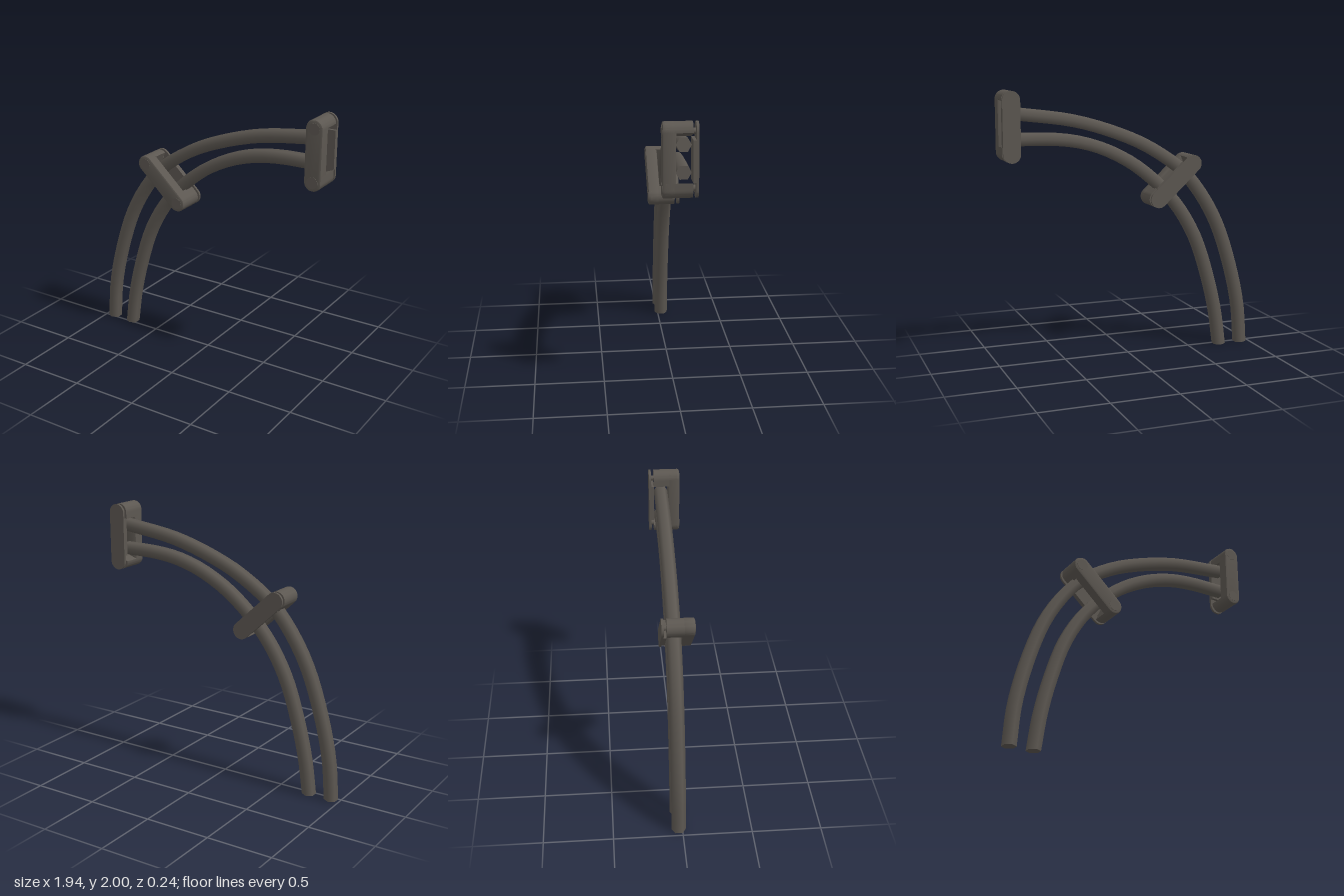
import * as THREE from 'three';
import { toCreasedNormals } from 'three/addons/utils/BufferGeometryUtils.js';

const gunmetal = new THREE.MeshStandardMaterial({ color: 0x5c5751 });
gunmetal.name = 'warm dark grey';

const TUBE_RADIUS = 0.0525, TUBE_Z = -0.027;
const R = 0.064;    // clip end radius
const H = 0.188;    // clip centre to pin centre
const SLOT = 0.14;  // half length of the slot

function add(parent, name, geometry) {
  const mesh = new THREE.Mesh(geometry, gunmetal);
  mesh.name = name;
  parent.add(mesh);
  return mesh;
}

// Six-sided smooth tube through the points, cut flat at the floor and capped
function createTube(name, points) {
  const group = new THREE.Group();
  group.name = name;
  const curve = new THREE.CatmullRomCurve3(points.map(([x, y]) => new THREE.Vector3(x, y, TUBE_Z)), false, 'centripetal');
  const geometry = new THREE.TubeGeometry(curve, 32, TUBE_RADIUS, 6);
  for (let i = 0; i <= 6; i++) geometry.attributes.position.setY(i, 0);
  add(group, name + 'Wall', geometry);
  const ends = [
    [curve.getPoint(0), new THREE.Vector3(0, -1, 0)],
    [curve.getPoint(1), curve.getTangent(1)],
  ];
  for (const [position, direction] of ends) {
    const cap = add(group, name + 'Cap', new THREE.CircleGeometry(TUBE_RADIUS, 6, Math.PI / 2));
    cap.position.copy(position);
    cap.up.set(0, 0, 1);
    cap.lookAt(position.clone().add(direction));
  }
  return group;
}

// Outline with two round ends
function stadium() {
  const shape = new THREE.Shape();
  shape.absarc(0, H, R, 0, Math.PI, false);
  shape.absarc(0, -H, R, Math.PI, Math.PI * 2, false);
  shape.closePath();
  return shape;
}

// Outline of one arm: round tip, flat towards the slot
function armShape() {
  const shape = new THREE.Shape();
  shape.moveTo(R, SLOT);
  shape.absarc(0, H, R, 0, Math.PI, false);
  shape.lineTo(-R, SLOT);
  shape.closePath();
  return shape;
}

function extrude(shape, zBack, zFront, bevel = 0) {
  const geometry = new THREE.ExtrudeGeometry(shape, {
    depth: zFront - zBack - 2 * bevel, curveSegments: 12,
    bevelEnabled: bevel > 0, bevelThickness: bevel, bevelSize: bevel, bevelOffset: -bevel, bevelSegments: 2,
  });
  geometry.translate(0, 0, zBack + bevel);
  return toCreasedNormals(geometry, 0.6);
}

// Slotted clip that holds both tubes, closed by a back plate on two pins
function createClip(name, x, y, angle) {
  const clip = new THREE.Group();
  clip.name = name;
  add(clip, 'frontBridge', extrude(stadium(), 0.03, 0.117, 0.012));
  add(clip, 'backPlate', extrude(stadium(), -0.117, -0.1));
  add(clip, 'backPad', new THREE.BoxGeometry(2 * R, 2 * SLOT, 0.022)).position.z = -0.09;
  for (const side of [1, -1]) {
    const arm = add(clip, 'arm', extrude(armShape(), -0.08, 0.1));
    if (side < 0) arm.rotation.z = Math.PI;
    const pin = add(clip, 'pin', new THREE.CylinderGeometry(0.02, 0.02, 0.03, 12));
    pin.rotation.x = Math.PI / 2;
    pin.position.set(0, side * H, -0.09);
    const rivet = add(clip, 'rivetHead', new THREE.CylinderGeometry(0.042, 0.042, 0.005, 24));
    rivet.rotation.x = Math.PI / 2;
    rivet.position.set(0, side * H, 0.117);
  }
  clip.position.set(x, y, 0);
  clip.rotation.z = angle;
  return clip;
}

export function createModel() {
  const model = new THREE.Group();
  model.name = 'curvedTwinTube';
  model.add(
    createTube('outerTube', [
      [-0.93, 0], [-0.905, 0.3], [-0.83, 0.63], [-0.71, 0.97], [-0.57, 1.21], [-0.415, 1.39],
      [-0.2, 1.54], [0, 1.64], [0.4, 1.77], [0.88, 1.84],
    ]),
    createTube('innerTube', [
      [-0.749, 0], [-0.71, 0.27], [-0.645, 0.54], [-0.54, 0.85], [-0.41, 1.08], [-0.267, 1.25],
      [-0.14, 1.365], [0, 1.465], [0.2, 1.565], [0.4, 1.625], [0.6, 1.65], [0.88, 1.655],
    ]),
    createClip('endClip', 0.903, 1.748, 0),
    createClip('middleClip', -0.344, 1.31, 0.82),
  );
  return model;
}
